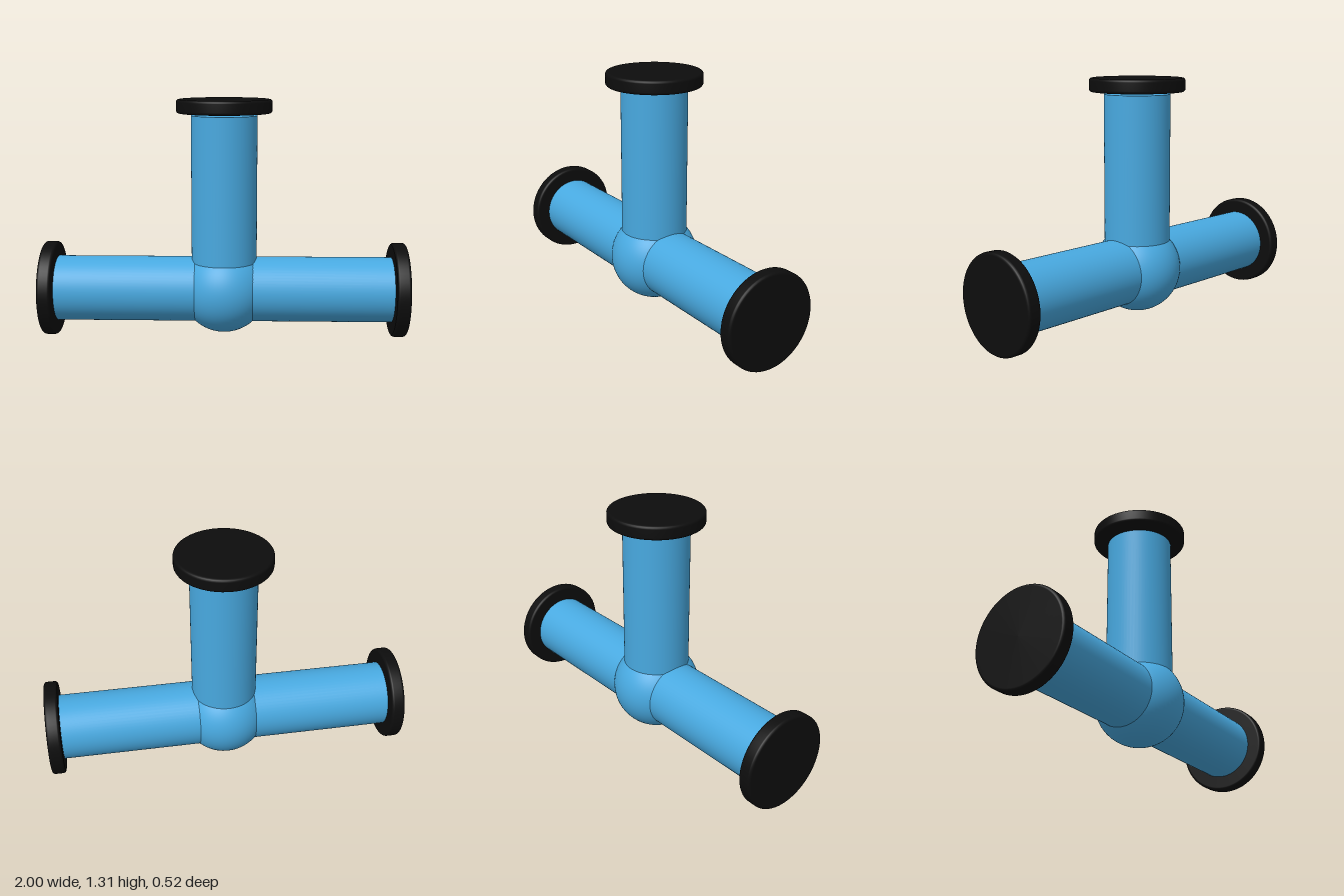
import * as THREE from 'three';

const AXIS_Y = 0.26; // height of the horizontal run

const blue = new THREE.MeshStandardMaterial({ color: 0x48a9e0 });
const black = new THREE.MeshStandardMaterial({ color: 0x0d0d0d });

// Solid disc with softly rounded rims, standing on its local y = 0
function flangeGeometry(radius, height, bevel) {
  const pts = [new THREE.Vector2(0, 0)];
  const arc = (cy, from) => {
    for (let i = 0; i <= 4; i++) {
      const a = from + (i / 4) * Math.PI / 2;
      pts.push(new THREE.Vector2(radius - bevel + bevel * Math.cos(a), cy + bevel * Math.sin(a)));
    }
  };
  arc(bevel, -Math.PI / 2);
  arc(height - bevel, 0);
  pts.push(new THREE.Vector2(0, height));
  return new THREE.LatheGeometry(pts, 64);
}

// Pipe and end flange pointing along +y from the joint centre
function createBranch(name, pipeLength, flangeStart) {
  const branch = new THREE.Group();
  branch.name = name;

  const pipe = new THREE.Mesh(new THREE.CylinderGeometry(0.18, 0.18, pipeLength, 64), blue);
  pipe.name = name + 'Pipe';
  pipe.position.y = pipeLength / 2;

  const flange = new THREE.Mesh(flangeGeometry(0.26, 0.075, 0.015), black);
  flange.name = name + 'Flange';
  flange.position.y = flangeStart;

  branch.add(pipe, flange);
  branch.position.y = AXIS_Y;
  return branch;
}

export function createModel() {
  const model = new THREE.Group();
  model.name = 'teeFitting';

  // Ball joint where the three pipes meet
  const joint = new THREE.Mesh(new THREE.SphereGeometry(0.24, 64, 40), blue);
  joint.name = 'ballJoint';
  joint.position.y = AXIS_Y;
  model.add(joint);

  // Horizontal run, mirrored left and right
  for (const side of [1, -1]) {
    const branch = createBranch(side > 0 ? 'left' : 'right', 0.925, 0.925);
    branch.rotation.z = -side * Math.PI / 2;
    model.add(branch);
  }

  // Upright branch, with a narrow gap below its flange
  model.add(createBranch('upright', 0.963, 0.975));

  return model;
}
